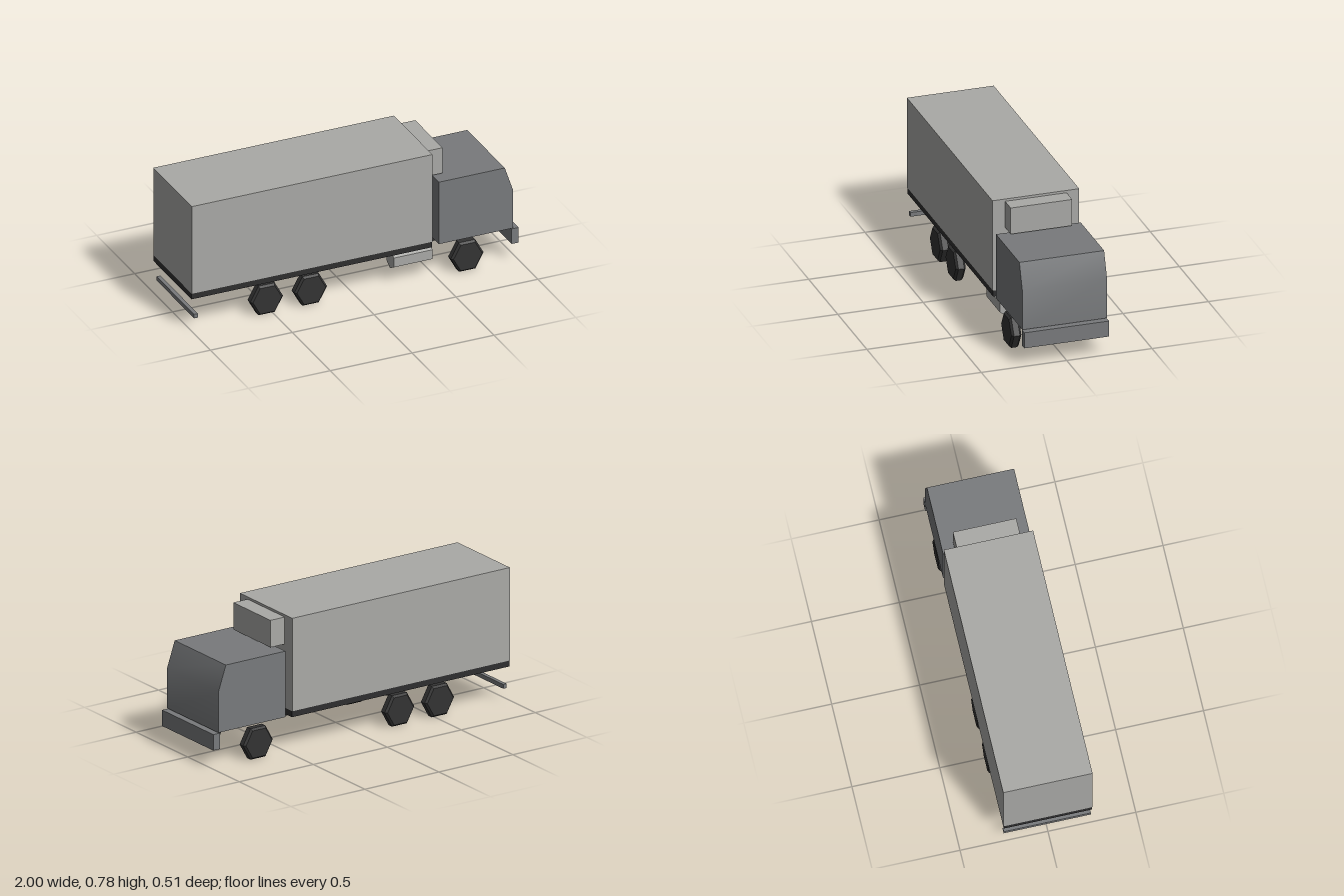
import * as THREE from 'three';
import { toCreasedNormals } from 'three/addons/utils/BufferGeometryUtils.js';

const material = (name, color, flatShading = false) => {
  const m = new THREE.MeshStandardMaterial({ color, flatShading });
  m.name = name;
  return m;
};

export function createModel() {
  const truck = new THREE.Group();
  truck.name = 'boxTruck';
  const lightGrey = material('light grey', 0xa9a9a6, true);
  const cabGrey = material('cab grey', 0x787a7c);
  const chassisBlack = material('chassis black', 0x2e2e2f);
  const tyreBlack = material('tyre black', 0x333333, true);

  const add = (name, geometry, mat) => {
    const mesh = new THREE.Mesh(geometry, mat);
    mesh.name = name;
    truck.add(mesh);
    return mesh;
  };
  // Box given by its extents along each axis
  const box = (name, mat, x0, x1, y0, y1, z0, z1) =>
    add(name, new THREE.BoxGeometry(x1 - x0, y1 - y0, z1 - z0), mat)
      .position.set((x0 + x1) / 2, (y0 + y1) / 2, (z0 + z1) / 2);

  // Cargo body with its floor and cooling unit
  box('cargoBox', lightGrey, -1, 0.47, 0.235, 0.782, -0.254, 0.254);
  box('cargoFloor', chassisBlack, -1, 0.47, 0.199, 0.235, -0.25, 0.25);
  box('coolingUnit', lightGrey, 0.47, 0.566, 0.609, 0.768, -0.18, 0.18);

  // Chassis rails
  for (const z of [-0.09, 0.09])
    box('chassisRail', chassisBlack, -0.96, 0.925, 0.155, 0.206, z - 0.018, z + 0.018);

  // Cab: side profile with a raked windscreen, extruded across the width
  const profile = new THREE.Shape([
    [0.513, 0.208], [0.966, 0.208], [0.966, 0.445], [0.915, 0.596], [0.513, 0.596],
  ].map(([x, y]) => new THREE.Vector2(x, y)));
  const cab = new THREE.ExtrudeGeometry(profile, { depth: 0.496, bevelEnabled: false });
  cab.translate(0, 0, -0.248);
  add('cab', toCreasedNormals(cab, Math.PI / 6), cabGrey);

  // Bumper and rear underrun bar
  box('frontBumper', cabGrey, 0.956, 1, 0.11, 0.204, -0.248, 0.248);
  box('rearBar', cabGrey, -0.983, -0.96, 0.075, 0.1, -0.248, 0.248);

  // Six-sided fuel tank on one side
  const tank = new THREE.CylinderGeometry(0.058, 0.058, 0.236, 6, 1, false, Math.PI / 6);
  tank.rotateZ(Math.PI / 2);
  add('fuelTank', tank, lightGrey).position.set(0.37, 0.134, 0.166);

  // Six-sided wheels with chamfered rims
  const r = 0.1, w = 0.029, c = 0.012;
  const wheel = new THREE.LatheGeometry([
    [0, -w], [r - c, -w], [r, c - w], [r, w - c], [r - c, w], [0, w],
  ].map(([x, y]) => new THREE.Vector2(x, y)), 6, Math.PI / 6);
  wheel.rotateX(Math.PI / 2);
  wheel.scale(1, 1.05, 1);
  for (const x of [0.69, -0.266, -0.535])
    for (const z of [-0.219, 0.219])
      add('wheel', wheel, tyreBlack).position.set(x, 0.091, z);

  return truck;
}
